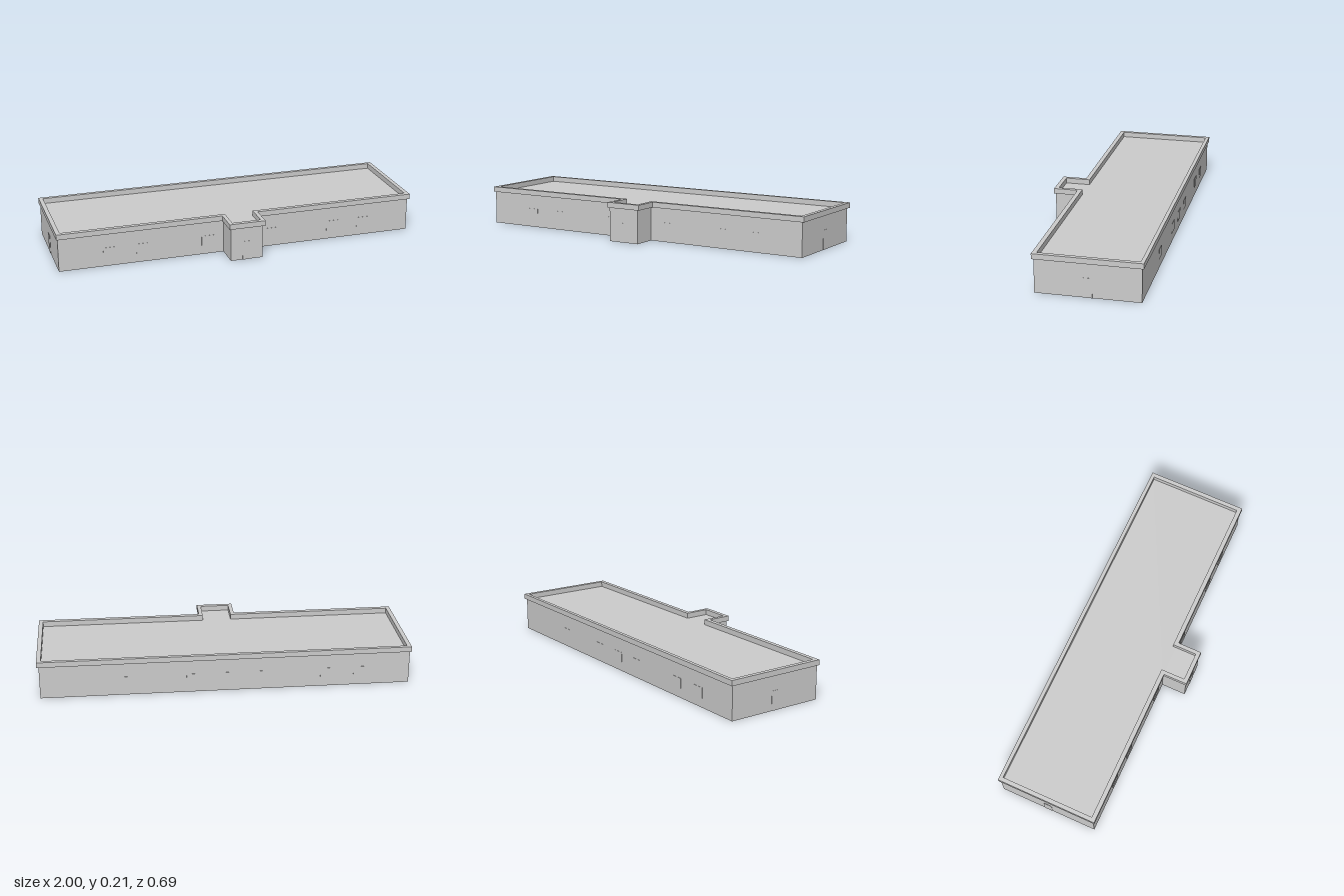
import * as THREE from 'three';

const material = new THREE.MeshStandardMaterial({ color: 0xcccccc, flatShading: true });

const WALL_TOP = 0.183, PARAPET_TOP = 0.212, OPENING_TOP = 0.105;
// Wall planes
const WALL = { x0: -0.993, x1: 0.989, back: -0.337, front: 0.205, p0: -0.091, p1: 0.087, porch: 0.34 };

// T-shaped outline, counter-clockwise: long hall with a small porch on the front
function outline({ x0, x1, back, front, p0, p1, porch }) {
  return [[x0, front], [p0, front], [p0, porch], [p1, porch], [p1, front], [x1, front], [x1, back], [x0, back]]
    .map(([x, z]) => new THREE.Vector2(x, -z));
}

// Extrude a plan upwards from y0 to y1
function slab(name, shape, y0, y1) {
  const geometry = new THREE.ExtrudeGeometry(shape, { depth: y1 - y0, bevelEnabled: false });
  geometry.rotateX(-Math.PI / 2).translate(0, y0, 0);
  const mesh = new THREE.Mesh(geometry, material);
  mesh.name = name;
  return mesh;
}

// Thin panel standing slightly proud of a wall
function panel(name, w, d, y0, x, z) {
  const h = OPENING_TOP - y0;
  const mesh = new THREE.Mesh(new THREE.BoxGeometry(w, h, d), material);
  mesh.name = name;
  mesh.position.set(x, y0 + h / 2, z);
  return mesh;
}

export function createModel() {
  const building = new THREE.Group();
  building.name = 'building';

  // Walls, whose cap is the flat roof deck
  building.add(slab('walls', new THREE.Shape(outline(WALL)), 0, WALL_TOP));

  // Overhanging parapet ring around the roof
  const ring = new THREE.Shape(outline(
    { x0: -1, x1: 1, back: -0.347, front: 0.214, p0: -0.1, p1: 0.1, porch: 0.347 }));
  ring.holes.push(new THREE.Path(outline(
    { x0: -0.977, x1: 0.977, back: -0.327, front: 0.19, p0: -0.079, p1: 0.079, porch: 0.324 })));
  building.add(slab('parapet', ring, WALL_TOP, PARAPET_TOP));

  // Windows on a regular grid of bays, some bays left blank
  const bay = 0.18, thick = 0.003;
  for (const i of [-4, -3, -1, 1, 3, 4])
    building.add(panel('frontWindow', 0.068, thick, 0.05, i * bay, WALL.front));
  for (const i of [-4, -3, -1, 0, 1, 3])
    building.add(panel('backWindow', 0.068, thick, 0.05, i * bay - 0.002, WALL.back));

  // Doors: porch front and both ends
  building.add(panel('porchDoor', 0.046, thick, 0, -0.002, WALL.porch));
  for (const [name, x] of [['leftDoor', WALL.x1], ['rightDoor', WALL.x0]])
    building.add(panel(name, thick, 0.046, 0, x, -0.066));

  return building;
}
